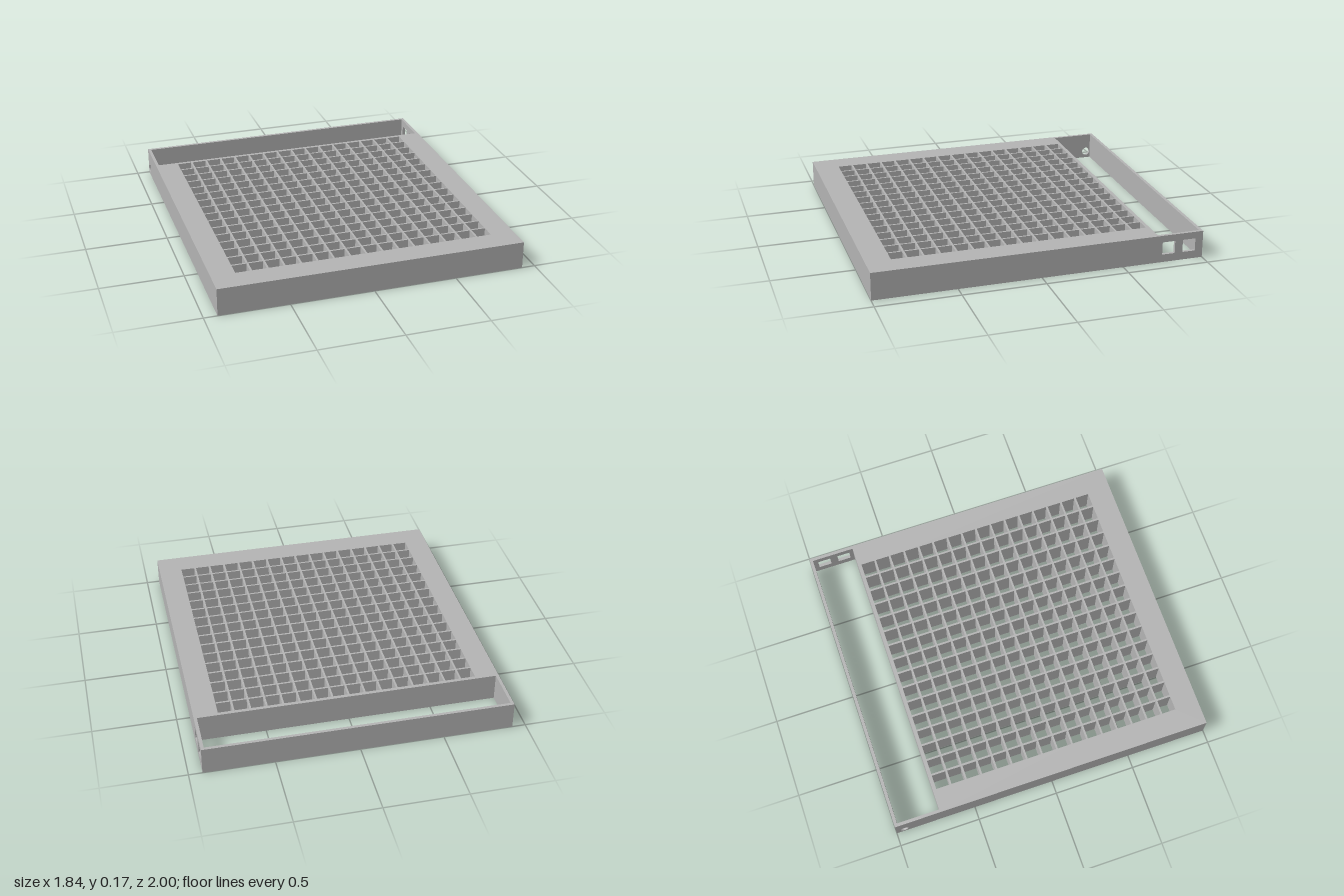
import * as THREE from 'three';

const W = 0.92, H = 0.168, WALL = 0.019, POCKET_Z = -0.717;

// rectangle as a closed list of points
function rect(x0, y0, x1, y1, PathType = THREE.Path) {
  return new PathType([[x0, y0], [x1, y0], [x1, y1], [x0, y1]].map(p => new THREE.Vector2(...p)));
}

function circle(x, y, r) {
  return new THREE.Path().absarc(x, y, r, 0, Math.PI * 2);
}

// open cells of the square lattice, in (x, z)
function cells() {
  const n = 16, bar = 0.012, x0 = -0.777, z0 = -0.695;
  const px = (1.553 + bar) / n, pz = (1.545 + bar) / n;
  const list = [];
  for (let i = 0; i < n; i++) {
    for (let j = 0; j < n; j++) {
      const x = x0 + i * px, z = z0 + j * pz;
      list.push(rect(x, z, x + px - bar, z + pz - bar));
    }
  }
  return list;
}

export function createModel() {
  const grey = new THREE.MeshStandardMaterial({ color: 0xb4b4b4 });
  grey.name = 'grey plastic';
  const group = new THREE.Group();
  group.name = 'latticeTray';

  const add = (name, geometry) => {
    const mesh = new THREE.Mesh(geometry, grey);
    mesh.name = name;
    group.add(mesh);
  };

  // horizontal slab of the frame and lattice between two heights
  const slab = (name, y0, y1, extraHoles) => {
    const shape = rect(-W, POCKET_Z, W, 1, THREE.Shape);
    shape.holes.push(...cells(), ...extraHoles);
    const geo = new THREE.ExtrudeGeometry(shape, { depth: y1 - y0, bevelEnabled: false, curveSegments: 8 });
    add(name, geo.rotateX(Math.PI / 2).translate(0, y1, 0));
  };

  // lower layer carries four blind screw holes in its corners
  const screws = [];
  for (const x of [-0.85, 0.85]) for (const z of [-0.66, 0.91]) screws.push(circle(x, z, 0.012));
  slab('latticeBottom', 0, 0.06, screws);
  slab('latticeTop', 0.06, H, []);

  // rear wall of the open compartment
  add('rearWall', new THREE.BoxGeometry(2 * W, H, WALL).translate(0, H / 2, -1 + WALL / 2));

  // end walls of the compartment with their openings, drawn in (z, y)
  const endWall = (name, outerX, holes) => {
    const shape = rect(-1 + WALL, 0, POCKET_Z, H, THREE.Shape);
    shape.holes.push(...holes);
    const geo = new THREE.ExtrudeGeometry(shape, { depth: WALL, bevelEnabled: false, curveSegments: 16 });
    add(name, geo.rotateY(-Math.PI / 2).translate(outerX, 0, 0));
  };
  endWall('leftEndWall', W, [rect(-0.823, 0.048, -0.743, 0.126), rect(-0.952, 0.048, -0.872, 0.126)]);
  endWall('rightEndWall', -W + WALL, [circle(-0.951, 0.045, 0.027)]);

  return group;
}
